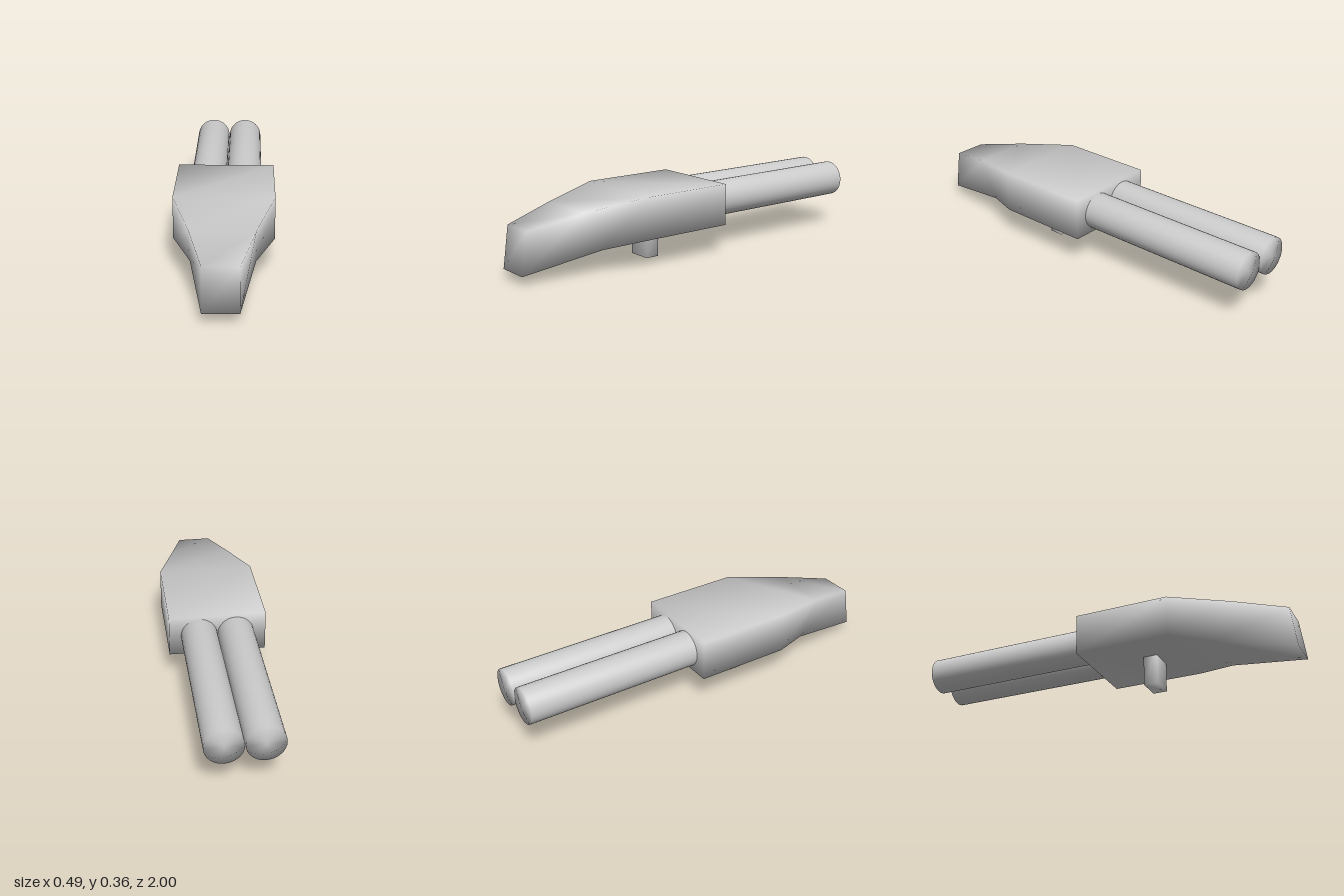
import * as THREE from 'three';
import { mergeVertices } from 'three/addons/utils/BufferGeometryUtils.js';

const material = new THREE.MeshStandardMaterial({ color: 0xcccccc, side: THREE.DoubleSide });

// Weld every corner so shading flows smoothly over all edges
function smoothMesh(geometry, name) {
  geometry.deleteAttribute('normal');
  geometry.deleteAttribute('uv');
  const welded = mergeVertices(geometry, 1e-4);
  welded.computeVertexNormals();
  const mesh = new THREE.Mesh(welded, material);
  mesh.name = name;
  return mesh;
}

// Cross-sections from back to nose
const SECTIONS = [
  { half: 0.246, top: [0.363, -0.09], bottom: [0.152, -0.09] },
  { half: 0.246, top: [0.363, 0.4], bottom: [0.152, 0.4] },
  { half: 0.155, top: [0.315, 0.7], bottom: [0.12, 0.6] },
  { half: 0.085, top: [0.256, 0.97], bottom: [0.046, 1.0] },
];

// Segmented box whose rings are moved onto the cross-sections
function bodyGeometry() {
  const geometry = new THREE.BoxGeometry(2, 1, 1, 1, 1, SECTIONS.length - 1);
  const p = geometry.attributes.position;
  for (let i = 0; i < p.count; i++) {
    const s = SECTIONS[Math.round((p.getZ(i) + 0.5) * (SECTIONS.length - 1))];
    const [y, z] = p.getY(i) > 0 ? s.top : s.bottom;
    p.setXYZ(i, p.getX(i) * s.half, y, z);
  }
  return geometry;
}

export function createModel() {
  const model = new THREE.Group();
  model.name = 'model';

  // Tapered, drooping body
  model.add(smoothMesh(bodyGeometry(), 'body'));

  // Pair of tubes running backwards
  for (const side of [-1, 1]) {
    const tube = new THREE.CylinderGeometry(0.0925, 0.0925, 0.95, 32);
    tube.rotateX(Math.PI / 2);
    tube.translate(side * 0.0935, 0.256, -0.525);
    model.add(smoothMesh(tube, side > 0 ? 'leftTube' : 'rightTube'));
  }

  // Small post under the body
  const post = new THREE.BoxGeometry(0.124, 0.2, 0.073);
  post.translate(0, 0.1, 0.236);
  model.add(smoothMesh(post, 'post'));

  return model;
}
